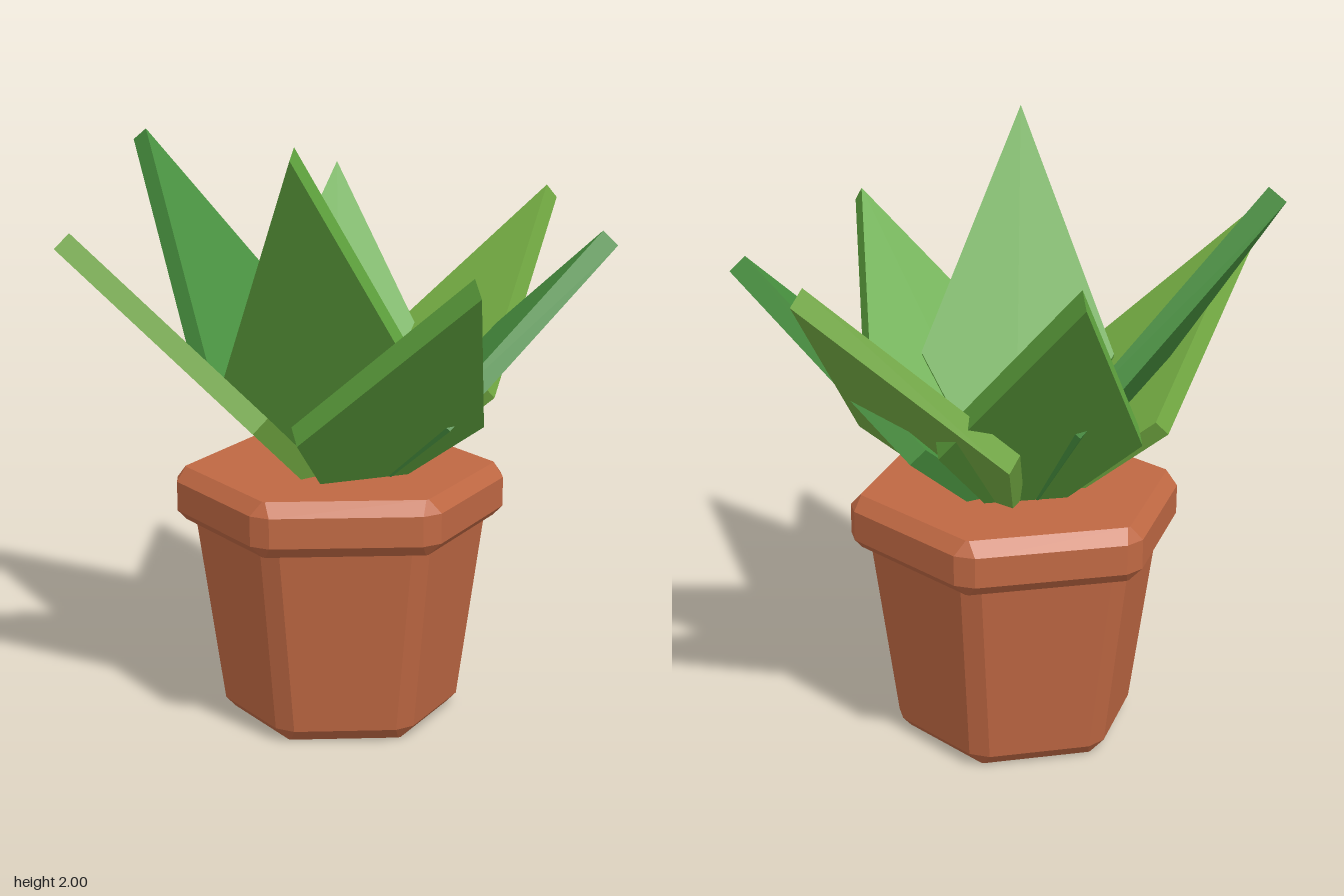
import * as THREE from 'three';

const CENTRE_X = -0.04, CENTRE_Z = -0.12;

function material(color) {
  return new THREE.MeshStandardMaterial({ color, flatShading: true });
}

// Hexagon with clipped corners: a = centre to flat side, w = half width of the clip
function hexRing([y, a, w]) {
  const points = [];
  const radius = a / Math.cos(Math.PI / 6) - w * Math.tan(Math.PI / 6);
  for (let i = 0; i < 6; i++) {
    const t = i * Math.PI / 3, s = Math.sin(t), c = Math.cos(t);
    for (const side of [-w, w]) {
      points.push(new THREE.Vector3(radius * s + side * c, y, radius * c - side * s));
    }
  }
  return points;
}

// Closed solid through a stack of hexagon rings, bottom to top
function hexLoft(profile) {
  const rings = profile.map(hexRing), n = 12, out = [];
  const tri = (a, b, c) => [a, b, c].forEach(p => out.push(p.x, p.y, p.z));
  for (let r = 0; r < rings.length - 1; r++) {
    for (let i = 0; i < n; i++) {
      const j = (i + 1) % n, lo = rings[r], hi = rings[r + 1];
      tri(lo[i], lo[j], hi[j]);
      tri(lo[i], hi[j], hi[i]);
    }
  }
  const bottom = rings[0], top = rings[rings.length - 1];
  for (let i = 1; i < n - 1; i++) {
    tri(bottom[0], bottom[i + 1], bottom[i]);
    tri(top[0], top[i], top[i + 1]);
  }
  const geometry = new THREE.BufferGeometry();
  geometry.setAttribute('position', new THREE.Float32BufferAttribute(out, 3));
  geometry.computeVertexNormals();
  return geometry;
}

// Flat kite-shaped leaf from the heart of the pot to the given tip
function makeLeaf([x, y, z, color], index) {
  const base = new THREE.Vector3(CENTRE_X, 0.68, CENTRE_Z);
  const along = new THREE.Vector3(x, y, z).sub(base);
  const length = along.length(), halfWidth = 0.325, widest = 0.41 * length;
  along.normalize();
  const across = along.clone().cross(new THREE.Vector3(0, 1, 0)).normalize();
  const normal = across.clone().cross(along);

  const kite = new THREE.Shape([
    new THREE.Vector2(0, 0),
    new THREE.Vector2(halfWidth, widest),
    new THREE.Vector2(0, length),
    new THREE.Vector2(-halfWidth, widest),
  ]);
  const geometry = new THREE.ExtrudeGeometry(kite, { depth: 0.07, bevelEnabled: false });
  geometry.applyMatrix4(new THREE.Matrix4().makeBasis(across, along, normal).setPosition(base));
  const leaf = new THREE.Mesh(geometry, material(color));
  leaf.name = `leaf${index + 1}`;
  return leaf;
}

export function createModel() {
  const model = new THREE.Group();
  model.name = 'pottedPlant';

  // Pot: tapered body and a wider bevelled rim, each [y, apothem, corner clip]
  const parts = {
    potBody: [[0, 0.32, 0.005], [0.045, 0.363, 0.035], [0.7, 0.442, 0.035]],
    potRim: [[0.68, 0.455, 0.005], [0.72, 0.495, 0.035], [0.82, 0.495, 0.035], [0.865, 0.455, 0.005]],
  };
  const terracotta = material(0xbf6843);
  const pot = new THREE.Group();
  pot.name = 'pot';
  pot.position.set(CENTRE_X, 0, CENTRE_Z);
  for (const [name, profile] of Object.entries(parts)) {
    const mesh = new THREE.Mesh(hexLoft(profile), terracotta);
    mesh.name = name;
    pot.add(mesh);
  }
  model.add(pot);

  // Leaves: tip position and colour
  const deep = 0x48913f, mid = 0x62a840, pale = 0x74ac43;
  const leaves = new THREE.Group();
  leaves.name = 'leaves';
  [
    [-0.38, 1.91, -0.93, deep],
    [0.46, 1.74, -0.93, mid],
    [0.945, 1.69, -0.22, pale],
    [0.70, 1.62, 0.42, deep],
    [-0.22, 1.61, 0.925, mid],
    [-0.53, 1.97, 0.385, mid],
    [-0.95, 1.645, -0.37, pale],
  ].forEach((tip, i) => leaves.add(makeLeaf(tip, i)));
  model.add(leaves);

  return model;
}
